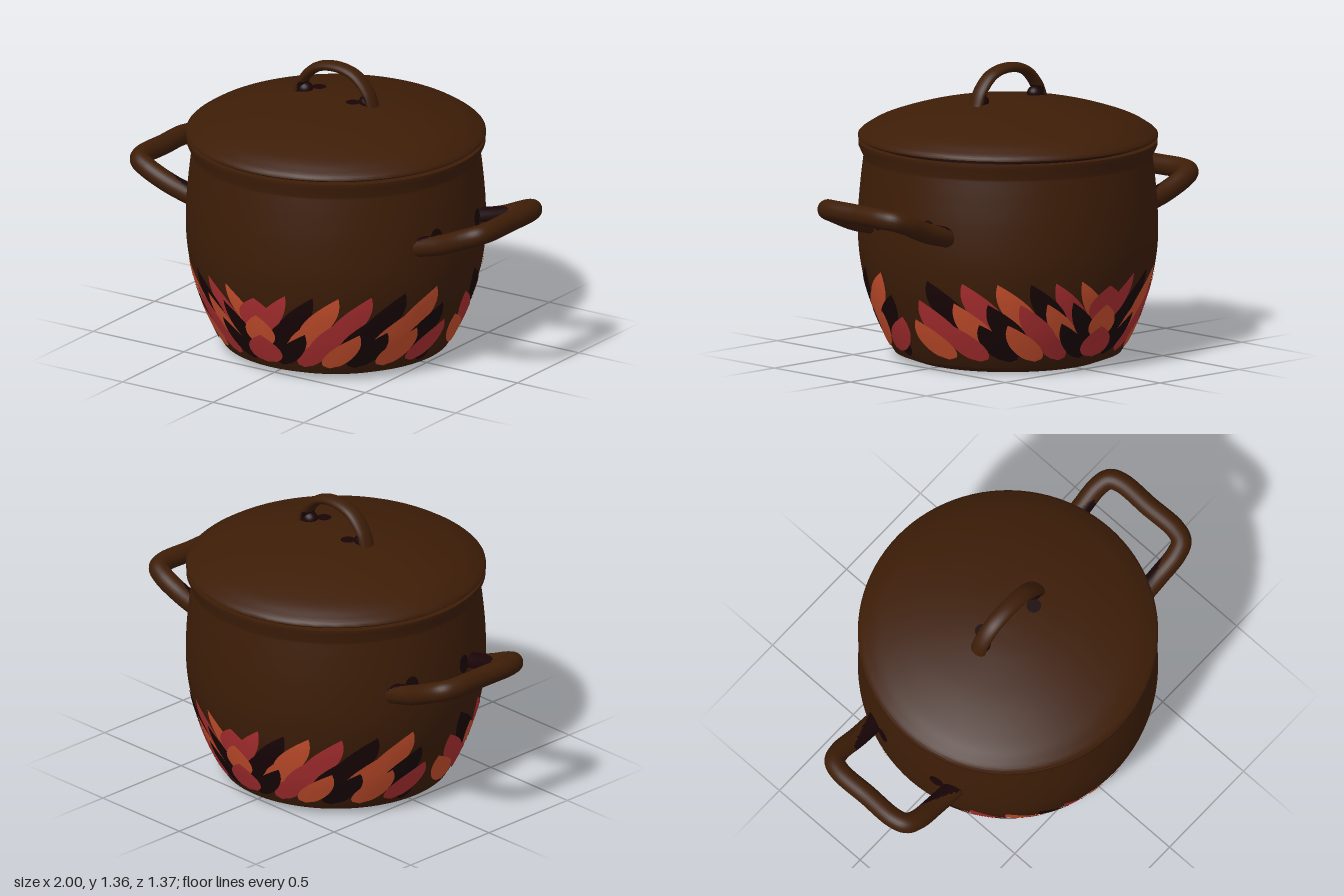
import * as THREE from 'three';
import { mergeGeometries, toCreasedNormals } from 'three/addons/utils/BufferGeometryUtils.js';

const RAD = Math.PI / 180;
const mat = (name, color) => {
  const m = new THREE.MeshStandardMaterial({ color });
  m.name = name;
  return m;
};
const V2 = (x, y) => new THREE.Vector2(x, y);
const V3 = (x, y, z) => new THREE.Vector3(x, y, z);

// Outer wall of the pot, as radius and height
const wall = new THREE.SplineCurve([
  [0.52, 0.03], [0.548, 0.08], [0.603, 0.2], [0.648, 0.33], [0.672, 0.43], [0.685, 0.55],
  [0.683, 0.7], [0.672, 0.83], [0.66, 0.93],
].map(([r, y]) => V2(r, y))).getPoints(48);

function radiusAt(y) {
  const i = Math.min(Math.max(wall.findIndex((p) => p.y >= y), 1), wall.length - 1);
  const a = wall[i - 1], b = wall[i];
  return a.x + (b.x - a.x) * (y - a.y) / (b.y - a.y);
}

// Half width of a painted leaf: round at the base, pointed at the tip
const leafWidth = (t) => (t < 0.4 ? Math.sqrt(Math.max(0, 1 - ((0.4 - t) / 0.4) ** 2)) : 1 - ((t - 0.4) / 0.6) ** 2);
const roundWidth = (t) => Math.sqrt(Math.max(0, 1 - (2 * t - 1) ** 2));

// Thin painted patch that follows the wall; angles run from +z towards +x
function wallPatch(a0, a1, y0, y1, halfWidth, shape, lift) {
  const rows = 14, cols = 4, pos = [], index = [];
  for (let i = 0; i <= rows; i++) {
    const t = i / rows, y = y0 + (y1 - y0) * t, r = radiusAt(y) + lift;
    for (let j = 0; j <= cols; j++) {
      const a = (a0 + (a1 - a0) * t) * RAD + (j / cols * 2 - 1) * shape(t) * halfWidth / r;
      pos.push(r * Math.sin(a), y, r * Math.cos(a));
      if (i < rows && j < cols) {
        const k = i * (cols + 1) + j, up = k + cols + 1;
        index.push(k, k + 1, up, k + 1, up + 1, up);
      }
    }
  }
  const g = new THREE.BufferGeometry();
  g.setAttribute('position', new THREE.Float32BufferAttribute(pos, 3));
  g.setIndex(index);
  g.computeVertexNormals();
  return g;
}

// Sort triangles into two material groups by a rule on their centres
function splitFaces(g, test) {
  const p = g.attributes.position, ix = g.index.array, lists = [[], []], c = V3(0, 0, 0);
  for (let i = 0; i < ix.length; i += 3) {
    const tri = [ix[i], ix[i + 1], ix[i + 2]];
    c.set(0, 0, 0);
    tri.forEach((k) => c.add(V3(p.getX(k), p.getY(k), p.getZ(k))));
    lists[test(c.divideScalar(3)) ? 1 : 0].push(...tri);
  }
  g.setIndex([...lists[0], ...lists[1]]);
  g.clearGroups();
  g.addGroup(0, lists[0].length, 0);
  g.addGroup(lists[0].length, lists[1].length, 1);
  return g;
}

export function createModel() {
  const root = new THREE.Group();
  root.name = 'cookingPot';
  const brown = mat('brown enamel', 0x3d1d07);
  const dark = mat('dark maroon', 0x190406);
  const red = mat('leaf red', 0xb03032);
  const orange = mat('leaf orange', 0xcd512e);
  const add = (name, geometry, material) => {
    const m = new THREE.Mesh(geometry, material);
    m.name = name;
    root.add(m);
    return m;
  };
  const lathe = (points) => toCreasedNormals(new THREE.LatheGeometry(points, 96), 0.8);

  // Pot body with a flared rim and an inner wall
  add('body', lathe([
    V2(0, 0), V2(0.44, 0), ...wall, V2(0.683, 0.98), V2(0.683, 1), V2(0.64, 1),
    V2(0.63, 0.93), V2(0.65, 0.6), V2(0.57, 0.2), V2(0.48, 0.04), V2(0, 0.03),
  ]), brown);

  // Lid, with a dark seam under its edge
  const dome = new THREE.SplineCurve([
    V2(0.684, 1.032), V2(0.66, 1.052), V2(0.58, 1.095), V2(0.4, 1.15), V2(0.2, 1.186), V2(0.06, 1.198), V2(0, 1.199),
  ]).getPoints(36);
  add('lid', lathe([V2(0, 1.012), V2(0.675, 1.012), V2(0.686, 1.02), ...dome]), brown);
  add('lidSeam', lathe([V2(0.64, 0.99), V2(0.64, 1.012), V2(0.672, 1.0115)]), dark);

  // Arched lid handle, dark on the inside of both feet
  const arch = new THREE.CatmullRomCurve3([
    [-0.21, 1.16], [-0.178, 1.24], [-0.105, 1.312], [0, 1.335], [0.105, 1.312], [0.178, 1.24], [0.21, 1.16],
  ].map(([x, y]) => V3(x, y, 0)));
  const archGeometry = new THREE.TubeGeometry(arch, 60, 0.023, 20);
  archGeometry.scale(1, 1, 1.75);
  add('lidHandle', splitFaces(archGeometry, (c) => c.y < 1.235 && Math.abs(c.x) < 0.37 - 0.15 * c.y), [brown, dark]);
  for (const s of [-1, 1]) {
    const spot = add('lidSpot', new THREE.CircleGeometry(0.034, 20), dark);
    spot.rotation.x = -Math.PI / 2;
    spot.position.set(s * 0.125, 1.2, s * 0.045);
    const foot = add('handleFoot', new THREE.SphereGeometry(1, 20, 14), dark);
    foot.scale.set(0.04, 0.035, 0.036);
    foot.position.set(s * 0.172, 1.195, 0);
  }

  // Side handles: raised rounded loops, dark on the upper inside where the arms meet the body
  const half = [[0.6, 0.65, 0.243], [0.75, 0.69, 0.243], [0.875, 0.742, 0.243], [0.93, 0.763, 0.222], [0.952, 0.769, 0.165]];
  const loop = new THREE.CatmullRomCurve3([
    ...half.map(([x, y, z]) => V3(x, y, z)),
    V3(0.952, 0.769, 0),
    ...half.map(([x, y, z]) => V3(x, y, -z)).reverse(),
  ]);
  const loopGeometry = splitFaces(new THREE.TubeGeometry(loop, 120, 0.047, 24),
    (c) => c.x < 0.81 && c.y > 0.475 + 0.27 * c.x && Math.abs(c.z) < 0.215 + 0.38 * (0.8 - c.x));
  add('leftHandle', loopGeometry, [brown, dark]);
  add('rightHandle', loopGeometry, [brown, dark]).rotation.y = Math.PI;
  add('handleSpots', mergeGeometries([76, 104, 256, 284].map(
    (a) => wallPatch(a, a, 0.64, 0.73, 0.035, roundWidth, 0.004))), dark);

  // Painted leaves: three rows fanning out from the middle of the front, repeated on the back.
  // Each word lists one row's colours from the middle to the side.
  const rows = [
    { tips: [21, 32, 44, 56, 70, 86], lean: 13, y0: 0.065, y1: 0.25 },
    { tips: [17, 28, 39, 52, 66, 82], lean: 14, y0: 0.125, y1: 0.35 },
    { tips: [14, 25, 35, 48, 62, 77], lean: 14, y0: 0.215, y1: 0.447 },
  ];
  const fans = [
    { side: 1, colours: ['DRODOR', 'DORDOD', 'RDORDO'] },
    { side: -1, colours: ['DRODRO', 'DORDOR', 'ORDORD'] },
  ];
  const leaves = { R: [], O: [], D: [] };
  for (const facing of [0, 180]) {
    fans.forEach(({ side, colours }) => rows.forEach(({ tips, lean, y0, y1 }, n) => {
      [...colours[n]].forEach((key, i) => {
        const tip = facing + side * tips[i];
        const lift = 0.0075 - n * 0.0015 - (i % 2) * 0.0006 - (side > 0 ? 0.0003 : 0);
        leaves[key].push(wallPatch(tip - side * lean, tip, y0, y1, 0.058 + i * 0.005, leafWidth, lift));
      });
    }));
    // Upright middle leaves and a small stray mark at the side
    leaves.R.push(wallPatch(facing, facing, 0.065, 0.215, 0.09, leafWidth, 0.0082));
    leaves.O.push(wallPatch(facing, facing, 0.16, 0.32, 0.08, leafWidth, 0.0079));
    leaves.R.push(wallPatch(facing, facing, 0.24, 0.41, 0.1, leafWidth, 0.0052));
    leaves.D.push(wallPatch(facing + 79, facing + 81, 0.05, 0.125, 0.035, roundWidth, 0.003));
  }
  add('redLeaves', mergeGeometries(leaves.R), red);
  add('orangeLeaves', mergeGeometries(leaves.O), orange);
  add('darkLeaves', mergeGeometries(leaves.D), dark);
  return root;
}
